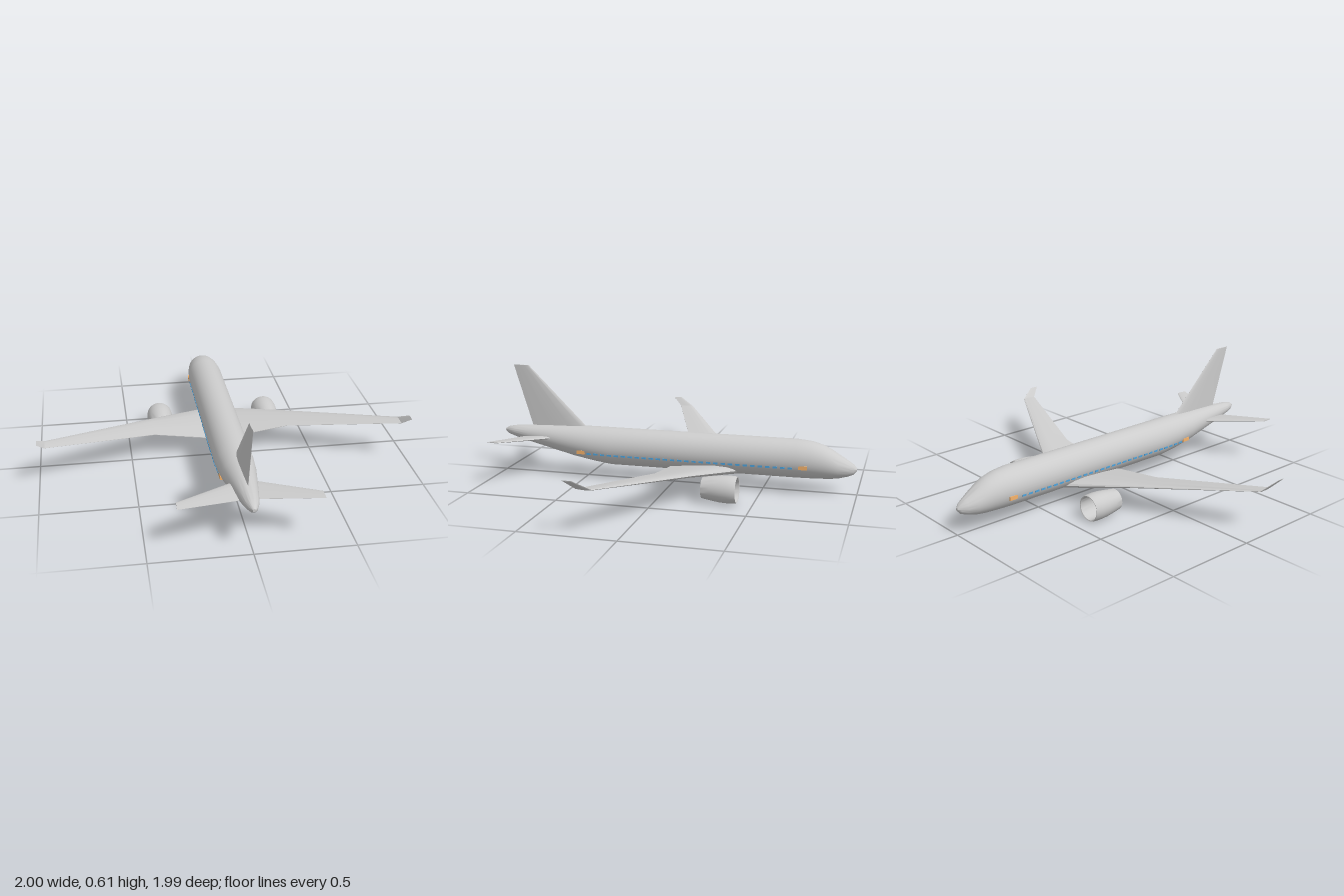
import * as THREE from 'three';
import { toCreasedNormals } from 'three/addons/utils/BufferGeometryUtils.js';

const grey = new THREE.MeshStandardMaterial({ color: 0xcccccc });
const blue = new THREE.MeshStandardMaterial({ color: 0x4fa3dc });
const orange = new THREE.MeshStandardMaterial({ color: 0xf5b26b });

// Skin a list of equal-length rings of [x, y, z] points and cap both ends.
function loft(rings, crease = 0.6) {
  const n = rings[0].length, index = [];
  for (let i = 0; i < rings.length - 1; i++) {
    for (let j = 0; j < n; j++) {
      const k = (j + 1) % n, a = i * n + j, b = i * n + k;
      index.push(a, b, b + n, a, b + n, a + n);
    }
  }
  const last = (rings.length - 1) * n;
  for (let j = 1; j < n - 1; j++) index.push(0, j + 1, j, last, last + j, last + j + 1);
  const g = new THREE.BufferGeometry();
  g.setAttribute('position', new THREE.Float32BufferAttribute(rings.flat(2), 3));
  g.setIndex(index);
  return toCreasedNormals(g, crease);
}

function addMesh(parent, name, geometry, material = grey) {
  const mesh = new THREE.Mesh(geometry, material);
  mesh.name = name;
  parent.add(mesh);
  return mesh;
}

// Fuselage stations, nose to tail: [z, bottom, top, half width]
const body = [
  [-0.995, 0.132, 0.146, 0.008], [-0.98, 0.113, 0.165, 0.024], [-0.95, 0.1, 0.185, 0.042],
  [-0.9, 0.087, 0.215, 0.063], [-0.86, 0.082, 0.24, 0.074], [-0.82, 0.08, 0.26, 0.083],
  [-0.76, 0.078, 0.277, 0.092], [-0.68, 0.077, 0.285, 0.099], [0.35, 0.077, 0.285, 0.099],
  [0.46, 0.092, 0.285, 0.097], [0.58, 0.114, 0.283, 0.088], [0.72, 0.148, 0.278, 0.068],
  [0.84, 0.176, 0.272, 0.051], [0.93, 0.2, 0.265, 0.036], [0.975, 0.214, 0.257, 0.021],
  [0.995, 0.229, 0.245, 0.008],
];

function bodyRing([z, lo, hi, w]) {
  return Array.from({ length: 40 }, (_, i) => {
    const a = (i / 40) * Math.PI * 2;
    return [w * Math.cos(a), (lo + hi) / 2 + (hi - lo) / 2 * Math.sin(a), z];
  });
}

// Half width of the fuselage skin at a given z and height
function skinX(z, y) {
  const i = body.findIndex((s) => s[0] > z), a = body[i - 1], b = body[i];
  const [, lo, hi, w] = a.map((v, k) => THREE.MathUtils.lerp(v, b[k], (z - a[0]) / (b[0] - a[0])));
  const t = (2 * y - lo - hi) / (hi - lo);
  return w * Math.sqrt(Math.max(0, 1 - t * t));
}

// Airfoil outline: [fraction of chord, fraction of thickness]
const upper = [[0.02, 0.2], [0.1, 0.4], [0.3, 0.5], [0.65, 0.32], [1, 0.04]];
const airfoil = [[0, 0], ...upper, ...upper.map(([c, t]) => [c, -t]).reverse()];

// Full-span surface from half-span stations: [x, y, leading z, trailing z, thickness]
function span(stations) {
  const mirrored = stations.filter((s) => s[0] > 0).reverse().map(([x, ...rest]) => [-x, ...rest]);
  return loft([...mirrored, ...stations].map(([x, y, z0, z1, t]) =>
    airfoil.map(([c, h]) => [x, y + h * t, z0 + c * (z1 - z0)])));
}

export function createModel() {
  const plane = new THREE.Group();
  plane.name = 'airliner';

  addMesh(plane, 'fuselage', loft(body.map(bodyRing), 0.5));

  // Wings with upturned tips
  addMesh(plane, 'wings', span([
    [0, 0.094, -0.4, 0, 0.054],
    [0.1, 0.109, -0.345, 0, 0.048],
    [0.37, 0.148, -0.196, 0, 0.026],
    [0.96, 0.222, 0.13, 0.21, 0.008],
    [0.998, 0.268, 0.213, 0.262, 0.004],
  ]));

  addMesh(plane, 'tailplane', span([
    [0, 0.209, 0.655, 0.845, 0.022],
    [0.06, 0.216, 0.695, 0.865, 0.018],
    [0.35, 0.246, 0.885, 0.95, 0.006],
  ]));

  // Upright fin: [y, leading z, trailing z, thickness]
  const fin = [[0.24, 0.465, 0.82, 0.024], [0.285, 0.51, 0.832, 0.022], [0.615, 0.845, 0.935, 0.007]];
  addMesh(plane, 'fin', loft(fin.map(([y, z0, z1, t]) =>
    airfoil.map(([c, h]) => [-h * t, y, z0 + c * (z1 - z0)]))));

  // Hollow engine cowling: outer skin from rear to front, then the inner skin back
  const cowl = [[0.055, 0], [0.063, 0.045], [0.07, 0.095], [0.072, 0.14], [0.07, 0.172], [0.067, 0.182],
    [0.062, 0.18], [0.06, 0.165], [0.061, 0.1], [0.052, 0], [0.055, 0]].map((p) => new THREE.Vector2(...p));
  const cowlGeometry = toCreasedNormals(new THREE.LatheGeometry(cowl, 36).rotateX(-Math.PI / 2), 0.7);

  for (const [side, label] of [[1, 'left'], [-1, 'right']]) {
    addMesh(plane, label + 'Engine', cowlGeometry).position.set(side * 0.31, 0.074, -0.236);

    // Cabin windows and doors sit just proud of the skin
    const fittings = new THREE.Group();
    fittings.name = label + 'CabinSide';
    plane.add(fittings);
    for (let i = 0; i < 29; i++) {
      const z = -0.655 + i * 0.04, y = 0.147;
      addMesh(fittings, 'window', new THREE.BoxGeometry(0.006, 0.01, 0.024), blue)
        .position.set(side * skinX(z, y), y, z);
    }
    for (const z of [-0.722, 0.513]) {
      addMesh(fittings, 'door', new THREE.BoxGeometry(0.012, 0.02, 0.046), orange)
        .position.set(side * skinX(z, 0.153), 0.153, z);
    }
  }
  return plane;
}
